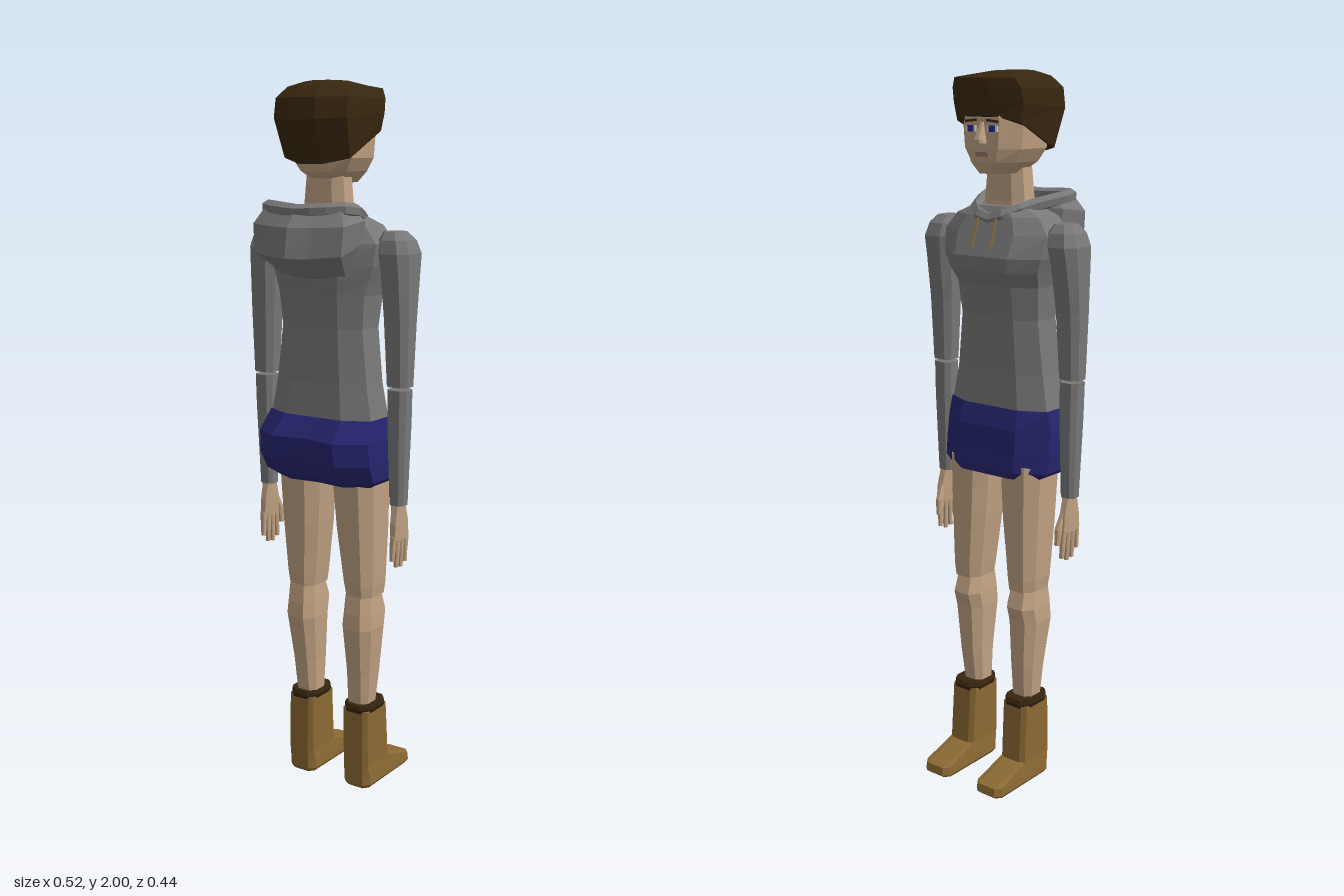
import * as THREE from 'three';

const mat = (name, color) => {
  const m = new THREE.MeshStandardMaterial({ color, flatShading: true });
  m.name = name;
  return m;
};

// Ring: y front, yb back, x half width, f front z, b back z, cx centre, kx/kz chamfer, dent in the back centre
function ring({ y, yb = y, x, f, b, cx = 0, kx = 0.45, kz = 0.45, dent = 0 }) {
  const m = (f + b) / 2, h = (b - f) / 2, u = 1 - kx, v = 1 - kz;
  const plan = [[1, -v], [1, v], [u, 1], [0, 1], [-u, 1], [-1, v], [-1, -v], [-u, -1], [0, -1], [u, -1]];
  return plan.map(([px, pz], i) => new THREE.Vector3(
    cx + px * x, y + (yb - y) * (pz + 1) / 2, m + pz * h - (i === 3 ? dent : 0)));
}

// Joins closed rings from bottom to top and caps both ends
function loft(rings, topDrop = 0) {
  const pos = [], n = rings[0].length;
  const tri = (...p) => p.forEach(q => pos.push(q.x, q.y, q.z));
  const mid = r => r.reduce((s, p) => s.add(p), new THREE.Vector3()).divideScalar(n);
  const last = rings[rings.length - 1], lo = mid(rings[0]), hi = mid(last);
  hi.y -= topDrop;
  for (let i = 0; i < n; i++) {
    const j = (i + 1) % n;
    for (let k = 0; k + 1 < rings.length; k++) {
      const a = rings[k], b = rings[k + 1];
      tri(a[i], b[i], a[j]);
      tri(a[j], b[i], b[j]);
    }
    tri(lo, rings[0][i], rings[0][j]);
    tri(hi, last[j], last[i]);
  }
  const g = new THREE.BufferGeometry();
  g.setAttribute('position', new THREE.Float32BufferAttribute(pos, 3));
  g.computeVertexNormals();
  return g;
}

export function createModel() {
  const root = new THREE.Group();
  root.name = 'figure';
  const skin = mat('skin', 0xbfa182), hair = mat('hair', 0x38270f), grey = mat('grey fabric', 0x787878);
  const navy = mat('navy fabric', 0x25256f), boot = mat('boot leather', 0x8c6a34), cuff = mat('dark cuff', 0x35240f);
  const blue = mat('eye blue', 0x28288c), white = mat('eye white', 0xd8d8d8), lip = mat('lips', 0x9a7570), cord = mat('cord', 0x8a6a40);

  const add = (name, geo, m) => {
    const mesh = new THREE.Mesh(geo, m);
    mesh.name = name;
    root.add(mesh);
    return mesh;
  };
  // rows: [y, half width, front z, back z, centre x]
  const body = (name, m, rows, extra = {}) => add(name, loft(rows.map(
    ([y, x, f, b, cx = 0]) => ring({ y, x, f, b, cx, ...extra }))), m);
  const plate = (name, m, w, h, x, y, z, tilt = 0) => {
    const p = add(name, new THREE.BoxGeometry(w, h, 0.006), m);
    p.position.set(x, y, z);
    p.rotation.z = tilt;
  };

  // Head, neck and hair
  body('neck', skin, [[1.6, 0.075, -0.035, 0.06], [1.66, 0.068, -0.028, 0.052], [1.77, 0.058, -0.025, 0.048]]);
  body('head', skin, [[1.735, 0.045, -0.085, 0.03], [1.765, 0.075, -0.1, 0.078], [1.8, 0.096, -0.104, 0.092],
    [1.88, 0.104, -0.104, 0.1], [1.95, 0.09, -0.09, 0.08]]);
  body('nose', skin, [[1.815, 0.015, -0.126, -0.095], [1.825, 0.014, -0.127, -0.095], [1.868, 0.006, -0.107, -0.095]]);
  add('hair', loft([
    { y: 1.885, yb: 1.785, x: 0.106, f: -0.111, b: 0.1 },
    { y: 1.92, yb: 1.9, x: 0.117, f: -0.118, b: 0.139 },
    { y: 1.955, yb: 1.955, x: 0.115, f: -0.125, b: 0.133 },
    { y: 1.98, yb: 1.985, x: 0.1, f: -0.13, b: 0.095 },
    { y: 1.985, yb: 2, x: 0.07, f: -0.095, b: 0.05 },
  ].map(r => ring({ ...r, kx: 0.65, kz: 0.3 }))), hair);
  plate('mouth', lip, 0.042, 0.012, 0, 1.786, -0.102);
  for (const s of [-1, 1]) {
    plate('eyeWhite', white, 0.034, 0.016, s * 0.036, 1.852, -0.1045);
    plate('iris', blue, 0.02, 0.016, s * 0.036, 1.852, -0.106);
    plate('eyebrow', hair, 0.038, 0.006, s * 0.036, 1.872, -0.105, -s * 0.1);
  }

  // Hooded top
  body('torso', grey, [[1.09, 0.168, -0.072, 0.09], [1.2, 0.148, -0.064, 0.082], [1.35, 0.132, -0.066, 0.078],
    [1.44, 0.14, -0.08, 0.088], [1.48, 0.152, -0.108, 0.095], [1.52, 0.166, -0.114, 0.097],
    [1.58, 0.175, -0.092, 0.09], [1.625, 0.14, -0.076, 0.08], [1.65, 0.085, -0.06, 0.06]]);
  const bag = (y, yb, x, f, b, tip) => {
    const r = ring({ y, yb, x, f, b, kx: 0.6, kz: 0.35 });
    r[3].z += tip;
    return r;
  };
  add('hood', loft([
    bag(1.54, 1.485, 0.105, 0.03, 0.1, 0.01),
    bag(1.59, 1.545, 0.14, 0.02, 0.19, 0.026),
    bag(1.645, 1.625, 0.146, 0.03, 0.185, 0.02),
    bag(1.66, 1.67, 0.125, 0.05, 0.155, 0.01),
  ], 0.03), grey);
  const half = [[0.055, 1.632, -0.06], [0.09, 1.652, 0], [0.12, 1.665, 0.065], [0.126, 1.672, 0.115], [0.06, 1.668, 0.15]];
  const path = [[0, 1.615, -0.068], ...half, [0, 1.665, 0.16], ...half.slice().reverse().map(([x, y, z]) => [-x, y, z])];
  add('collarRoll', new THREE.TubeGeometry(new THREE.CatmullRomCurve3(
    path.map(p => new THREE.Vector3(...p)), true), 18, 0.019, 6, true), grey);
  for (const s of [-1, 1]) {
    const line = new THREE.LineCurve3(new THREE.Vector3(s * 0.03, 1.62, -0.085), new THREE.Vector3(s * 0.032, 1.54, -0.113));
    add('drawstring', new THREE.TubeGeometry(line, 1, 0.004, 5), cord);
  }

  // Shorts with a centre crease at the back
  add('shorts', loft([
    [0.915, 0.155, -0.095, 0.075, 0.01], [0.935, 0.18, -0.101, 0.11, 0.025], [0.985, 0.185, -0.096, 0.14, 0.025],
    [1.05, 0.182, -0.09, 0.145, 0.018], [1.105, 0.17, -0.074, 0.092, 0],
  ].map(([y, x, f, b, dent]) => ring({ y, x, f, b, dent }))), navy);

  for (const s of [-1, 1]) {
    const limb = (name, m, rows, extra) => body(name, m, rows.map(([y, x, f, b, cx]) => [y, x, f, b, s * cx]), extra);

    // Arm
    limb('upperArm', grey, [[1.2, 0.032, -0.029, 0.029, 0.224], [1.38, 0.039, -0.038, 0.036, 0.222],
      [1.5, 0.044, -0.056, 0.045, 0.218], [1.555, 0.048, -0.066, 0.05, 0.214],
      [1.59, 0.042, -0.055, 0.042, 0.208], [1.612, 0.026, -0.035, 0.025, 0.202]]);
    limb('forearm', grey, [[0.87, 0.022, -0.023, 0.019, 0.222], [1.1, 0.029, -0.029, 0.028, 0.223], [1.192, 0.03, -0.028, 0.029, 0.224]]);
    limb('palm', skin, [[0.775, 0.014, -0.04, 0.03, 0.224], [0.82, 0.016, -0.038, 0.028, 0.223], [0.88, 0.017, -0.02, 0.016, 0.222]]);
    [0.7, 0.69, 0.693, 0.715].forEach((tip, i) => {
      const z = -0.032 + i * 0.019, spread = (i - 1.5) * 0.003;
      limb('finger', skin, [[tip, 0.006, z - 0.006 + spread, z + 0.006 + spread, 0.222], [0.785, 0.009, z - 0.008, z + 0.008, 0.224]]);
    });
    limb('thumb', skin, [[0.74, 0.007, -0.057, -0.043, 0.216], [0.785, 0.009, -0.055, -0.035, 0.217], [0.83, 0.008, -0.035, -0.015, 0.22]]);

    // Leg
    limb('thigh', skin, [[0.585, 0.044, -0.082, 0.032, 0.098], [0.62, 0.049, -0.085, 0.037, 0.098],
      [0.78, 0.062, -0.088, 0.05, 0.093], [0.95, 0.07, -0.088, 0.062, 0.09]]);
    limb('calf', skin, [[0.23, 0.033, -0.056, 0.01, 0.09], [0.35, 0.039, -0.07, 0.022, 0.094],
      [0.49, 0.049, -0.077, 0.043, 0.098], [0.535, 0.047, -0.09, 0.04, 0.098], [0.595, 0.041, -0.07, 0.032, 0.098]]);
    limb('boot', boot, [[0, 0.037, -0.205, 0.018, 0.097], [0.012, 0.046, -0.219, 0.025, 0.097],
      [0.035, 0.045, -0.215, 0.026, 0.097], [0.07, 0.042, -0.1, 0.025, 0.097], [0.24, 0.042, -0.088, 0.024, 0.095]],
    { kx: 0.35, kz: 0.14 });
    limb('bootCuff', cuff, [[0.234, 0.043, -0.09, 0.026, 0.095], [0.246, 0.047, -0.094, 0.029, 0.095], [0.257, 0.043, -0.089, 0.025, 0.095]]);
  }
  return root;
}
